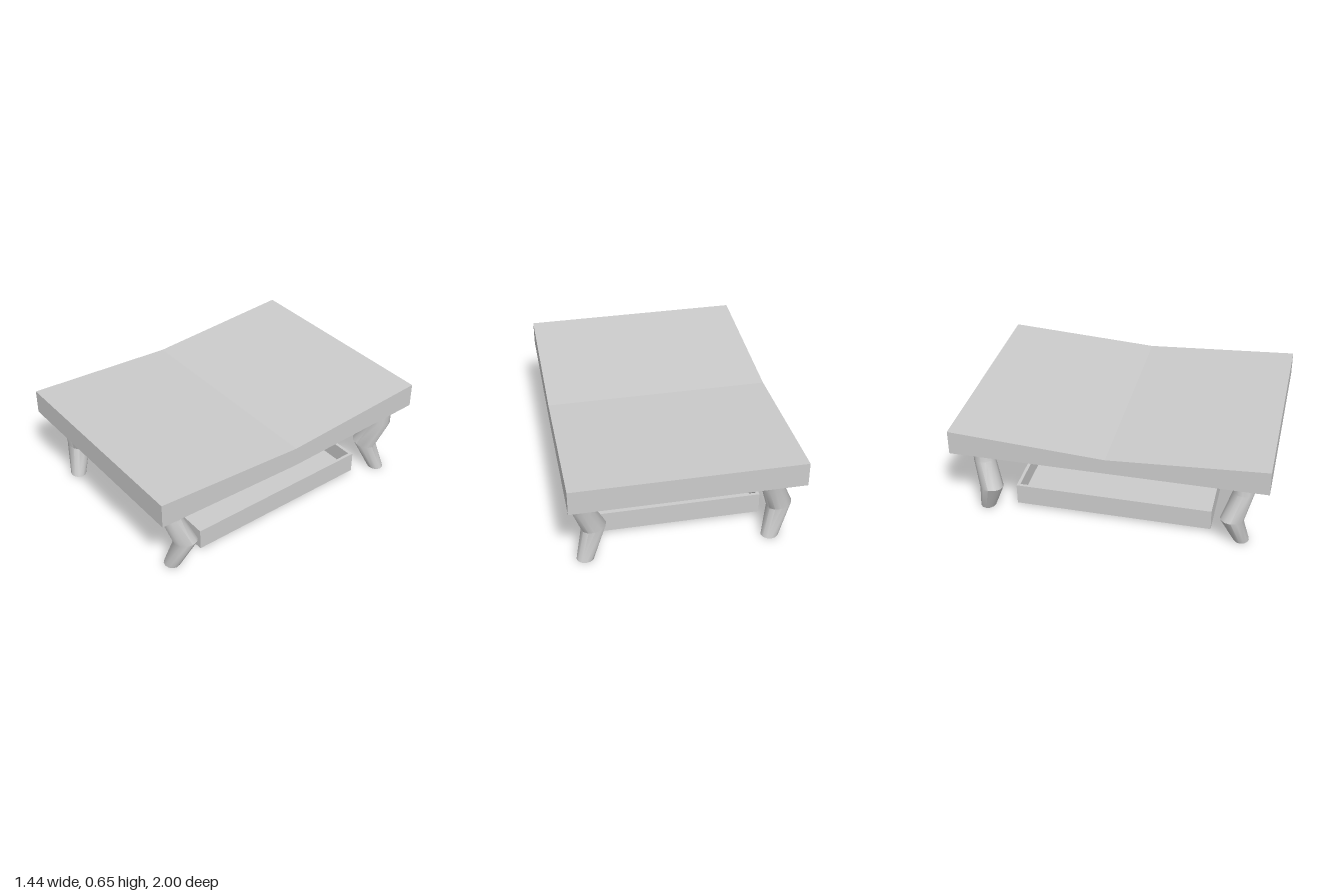
import * as THREE from 'three';
import { toCreasedNormals } from 'three/addons/utils/BufferGeometryUtils.js';

const material = new THREE.MeshStandardMaterial({ color: 0xcccccc });

function addMesh(parent, name, geometry) {
  const mesh = new THREE.Mesh(geometry, material);
  mesh.name = name;
  parent.add(mesh);
  return mesh;
}

// Solid with a [z, y] profile, running from x0 to x1
function prism(profile, x0, x1) {
  const shape = new THREE.Shape(profile.map(([z, y]) => new THREE.Vector2(z, y)));
  const geo = new THREE.ExtrudeGeometry(shape, { depth: x1 - x0, bevelEnabled: false });
  return geo.rotateY(-Math.PI / 2).translate(x1, 0, 0);
}

// Box given by its lower and upper corners
function block(x0, x1, y0, y1, z0, z1) {
  return new THREE.BoxGeometry(x1 - x0, y1 - y0, z1 - z0)
    .translate((x0 + x1) / 2, (y0 + y1) / 2, (z0 + z1) / 2);
}

// Bent leg: a cylinder whose rings follow the sections [y, knee dx, knee dz, rx, rz]
const legSections = [
  [0, 0, 0, 0.055, 0.05],
  [0.2, 0.066, 0.06, 0.079, 0.074],
  [0.38, 0, 0, 0.073, 0.067],
  [0.61, 0, 0, 0.072, 0.065],
];
function legGeometry(cx, cz, kneeX, kneeZ) {
  const geo = new THREE.CylinderGeometry(1, 1, 1, 12, legSections.length - 1);
  const p = geo.attributes.position;
  for (let i = 0; i < p.count; i++) {
    const row = Math.round((p.getY(i) + 0.5) * (legSections.length - 1));
    const [y, dx, dz, rx, rz] = legSections[row];
    // the knee ring tilts a little, highest on its outer side
    const tilt = row === 1 ? 0.015 * kneeX * p.getX(i) : 0;
    p.setXYZ(i, cx + kneeX * dx + rx * p.getX(i), y + tilt, cz + kneeZ * dz + rz * p.getZ(i));
  }
  return toCreasedNormals(geo, 0.7);
}

export function createModel() {
  const model = new THREE.Group();
  model.name = 'lowTable';

  // Sagging top with a hollow underside
  const top = new THREE.Group();
  top.name = 'tableTop';
  model.add(top);
  const W = 0.72, rim = 0.09;
  addMesh(top, 'topBoard', prism(
    [[-1, 0.62], [0, 0.56], [1, 0.62], [1, 0.65], [0, 0.59], [-1, 0.65]], -W, W));
  const sideRim = (dip) => [[-1, 0.49], [0, dip], [1, 0.49], [1, 0.62], [0, 0.56], [-1, 0.62]];
  addMesh(top, 'leftRim', prism(sideRim(0.46), W - rim, W));
  addMesh(top, 'rightRim', prism(sideRim(0.49), -W, -W + rim));
  const innerZ = 1 - rim;
  addMesh(top, 'frontRim', prism(
    [[innerZ, 0.49], [1, 0.49], [1, 0.62], [innerZ, 0.615]], -W + rim, W - rim));
  addMesh(top, 'backRim', prism(
    [[-1, 0.49], [-innerZ, 0.49], [-innerZ, 0.615], [-1, 0.62]], -W + rim, W - rim));

  // Legs: centre x, centre z, direction of the knee in x and z
  const legs = [
    ['frontLeftLeg', 0.557, 0.838, 1, -1],
    ['frontRightLeg', -0.557, 0.838, -1, -1],
    ['backLeftLeg', 0.617, -0.836, -1, 1],
    ['backRightLeg', -0.557, -0.836, -1, 1],
  ];
  for (const [name, ...placing] of legs) addMesh(model, name, legGeometry(...placing));

  // Open tray below the top
  const tray = new THREE.Group();
  tray.name = 'tray';
  model.add(tray);
  const x0 = -0.54, x1 = 0.585, z = 0.64, y0 = 0.025, y1 = 0.165, t = 0.02;
  addMesh(tray, 'trayFloor', block(x0 + t, x1 - t, y0 + 0.005, y0 + 0.025, -z + t, z - t));
  addMesh(tray, 'trayRightWall', block(x0, x0 + t, y0, y1, -z, z));
  addMesh(tray, 'trayLeftWall', block(x1 - t, x1, y0, y1, -z, z));
  addMesh(tray, 'trayFrontWall', block(x0 + t, x1 - t, y0, y1, z - t, z));
  addMesh(tray, 'trayBackWall', block(x0 + t, x1 - t, y0, y1, -z, -z + t));

  return model;
}
